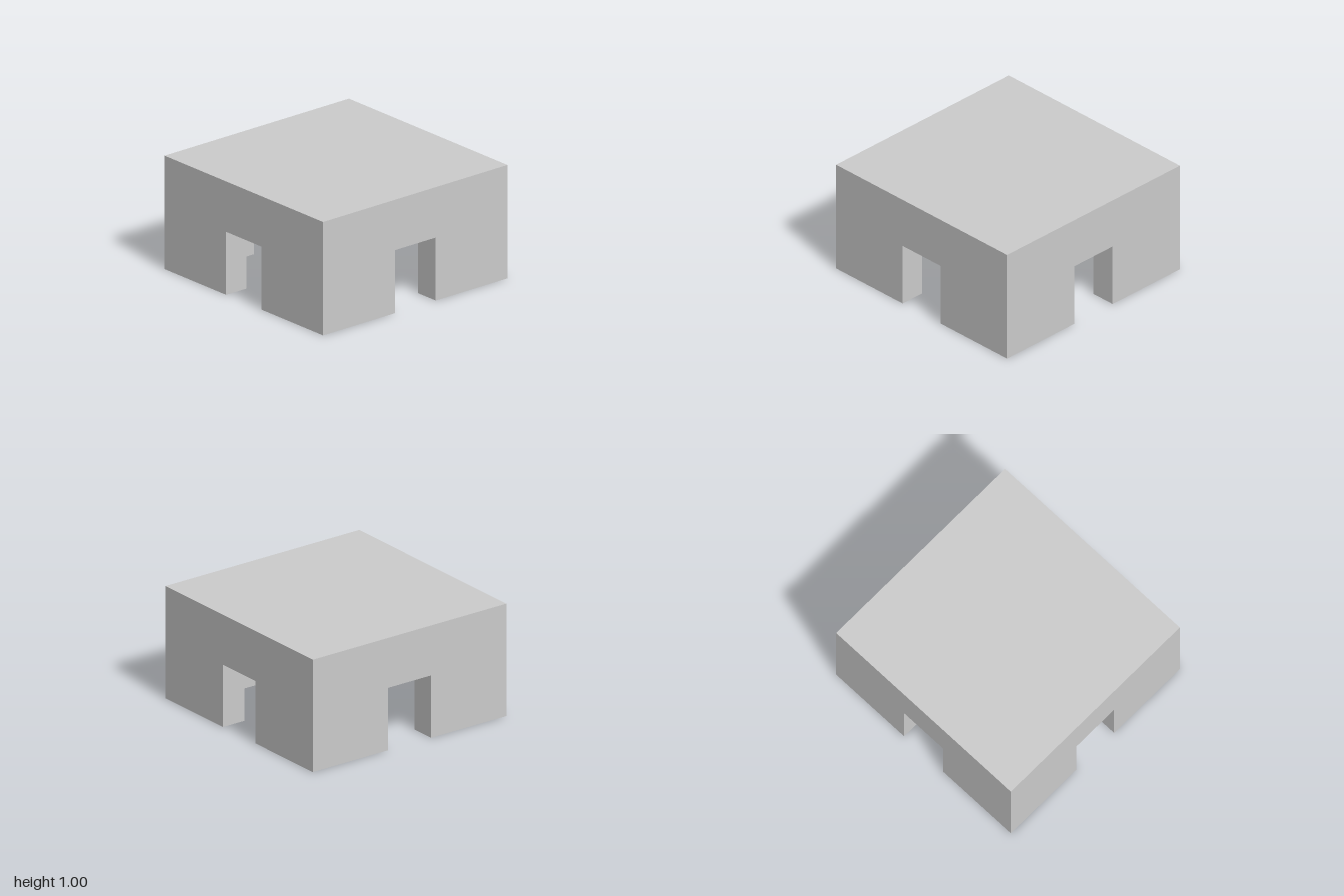
import * as THREE from 'three';

const UNIT = 2 / 9;           // wall and roof thickness
const INNER = 1 - UNIT;       // half width and height of the hollow inside
const DOOR = UNIT;            // half width of each doorway
const DOOR_TOP = UNIT * 2.5;  // height of each doorway

const material = new THREE.MeshStandardMaterial({ color: 0xcccccc, flatShading: true });

function addMesh(parent, name, geometry) {
  const mesh = new THREE.Mesh(geometry, material);
  mesh.name = name;
  parent.add(mesh);
  return mesh;
}

// Lower outline of a wall, stepping up around its doorway
const outline = (half) => [
  [-half, 0], [-DOOR, 0], [-DOOR, DOOR_TOP], [DOOR, DOOR_TOP], [DOOR, 0], [half, 0],
];

// Flat wall face with the doorway cut out
function panel(half, top) {
  const points = [...outline(half), [half, top], [-half, top]];
  return new THREE.ShapeGeometry(new THREE.Shape(points.map(([x, y]) => new THREE.Vector2(x, y))));
}

// Feet, door jambs and lintel underside, joining the outer and inner outlines
function reveal() {
  const outer = outline(1).map(([x, y]) => [x, y, 1]);
  const inner = outline(INNER).map(([x, y]) => [x, y, INNER]);
  const positions = [];
  for (let i = 0; i < outer.length - 1; i++) {
    const [a, b, c, d] = [outer[i], inner[i], inner[i + 1], outer[i + 1]];
    positions.push(...a, ...b, ...c, ...a, ...c, ...d);
  }
  const geometry = new THREE.BufferGeometry();
  geometry.setAttribute('position', new THREE.Float32BufferAttribute(positions, 3));
  geometry.computeVertexNormals();
  return geometry;
}

export function createModel() {
  const model = new THREE.Group();
  model.name = 'hollowBlock';

  // Four identical walls, mitred at the corners
  ['frontWall', 'leftWall', 'backWall', 'rightWall'].forEach((name, i) => {
    const wall = new THREE.Group();
    wall.name = name;
    addMesh(wall, 'outerFace', panel(1, 1)).position.z = 1;
    const innerFace = addMesh(wall, 'innerFace', panel(INNER, INNER));
    innerFace.rotation.y = Math.PI;
    innerFace.position.z = INNER;
    addMesh(wall, 'doorwayAndFeet', reveal());
    wall.rotation.y = (i * Math.PI) / 2;
    model.add(wall);
  });

  // Roof and the ceiling beneath it
  const roof = addMesh(model, 'roof', new THREE.PlaneGeometry(2, 2));
  roof.rotation.x = -Math.PI / 2;
  roof.position.y = 1;
  const ceiling = addMesh(model, 'ceiling', new THREE.PlaneGeometry(2 * INNER, 2 * INNER));
  ceiling.rotation.x = Math.PI / 2;
  ceiling.position.y = INNER;

  return model;
}
